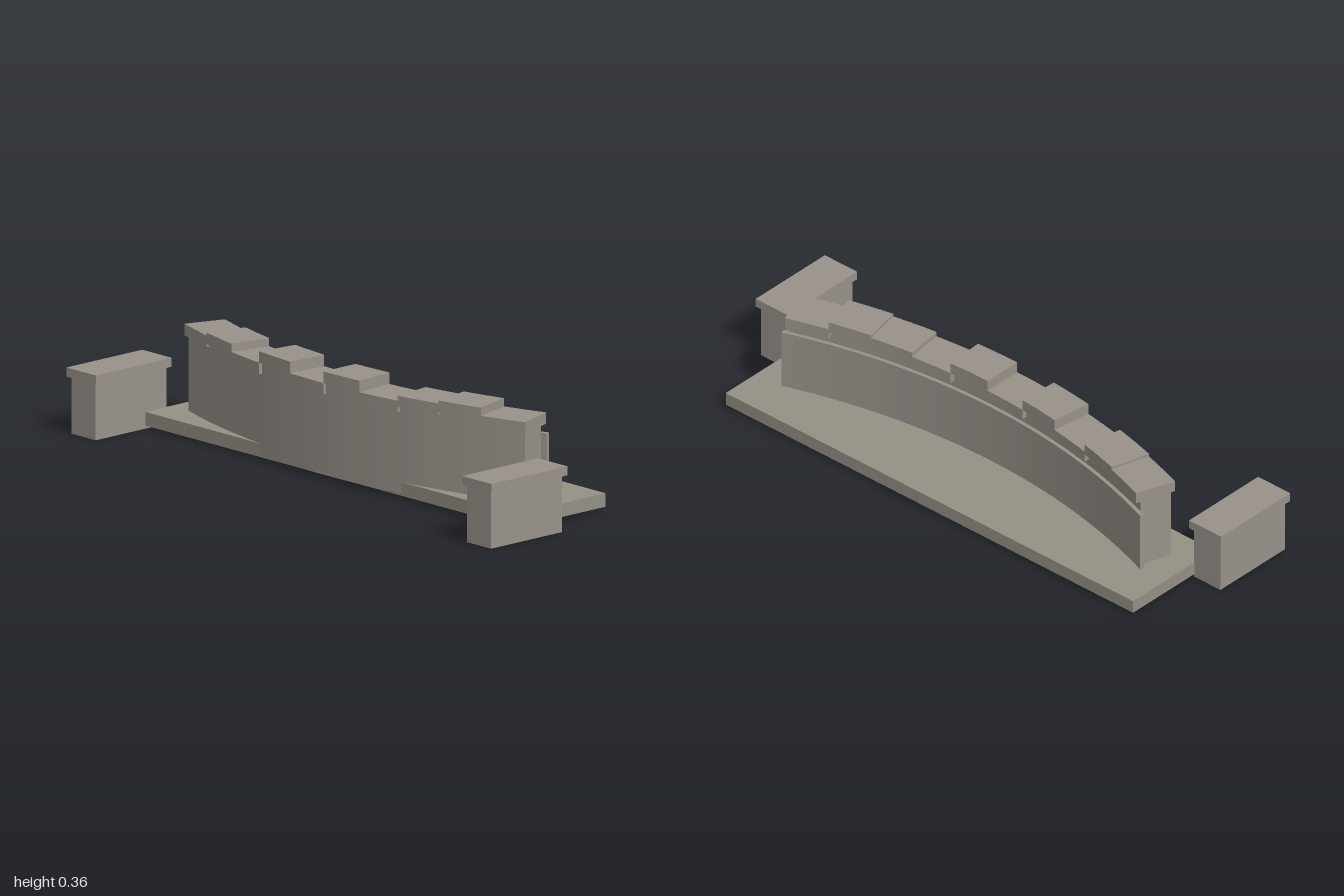
import * as THREE from 'three';

const CENTER_Z = -2.29; // centre of the wall's curve
const stone = new THREE.MeshStandardMaterial({ color: 0x98928a, flatShading: true });
const slabStone = new THREE.MeshStandardMaterial({ color: 0x949085, flatShading: true });

// Curved block between two radii and two angles (angle 0 faces the front)
function arcBlock(name, r0, r1, a0, a1, y0, y1, steps) {
  const pts = [];
  const add = (r, a) => pts.push(new THREE.Vector2(r * Math.sin(a), -(CENTER_Z + r * Math.cos(a))));
  for (let i = 0; i <= steps; i++) add(r1, a0 + ((a1 - a0) * i) / steps);
  for (let i = steps; i >= 0; i--) add(r0, a0 + ((a1 - a0) * i) / steps);
  const geo = new THREE.ExtrudeGeometry(new THREE.Shape(pts), { depth: y1 - y0, bevelEnabled: false });
  geo.rotateX(-Math.PI / 2).translate(0, y0, 0);
  const mesh = new THREE.Mesh(geo, stone);
  mesh.name = name;
  return mesh;
}

function box(name, x0, x1, y0, y1, z0, z1, material) {
  const mesh = new THREE.Mesh(new THREE.BoxGeometry(x1 - x0, y1 - y0, z1 - z0), material);
  mesh.position.set((x0 + x1) / 2, (y0 + y1) / 2, (z0 + z1) / 2);
  mesh.name = name;
  return mesh;
}

export function createModel() {
  const model = new THREE.Group();
  model.name = 'curvedStoneWall';

  // Base slab
  model.add(box('baseSlab', -0.875, 0.875, 0.01, 0.055, -0.305, 0.08, slabStone));

  // Curved wall and the thin panel lining its back
  model.add(arcBlock('wall', 2.282, 2.393, -0.337, 0.337, 0.018, 0.288, 40));
  model.add(arcBlock('backPanel', 2.269, 2.285, -0.346, 0.346, 0, 0.262, 40));

  // Coping stones at uneven heights, each on its own stretch of wall
  const tops = [0.342, 0.352, 0.325, 0.363, 0.325, 0.363, 0.325, 0.342, 0.352, 0.325];
  const step = 0.068;
  tops.forEach((top, i) => {
    const a0 = (i - 5) * step;
    const a1 = a0 + step;
    const bottom = top - 0.038;
    if (bottom > 0.29) {
      model.add(arcBlock('wallRiser', 2.282, 2.393,
        Math.max(a0, -0.337), Math.min(a1, 0.337), 0.288, bottom, 4));
    }
    model.add(arcBlock('copingStone', 2.263, 2.404, a0, a1, bottom, top, 4));
  });

  // End piers with overhanging caps
  for (const [side, s] of [['left', 1], ['right', -1]]) {
    const pier = new THREE.Group();
    pier.name = side + 'Pier';
    const inner = s > 0 ? 0.873 : -0.987;
    pier.add(box('pierBlock', inner, inner + 0.114, 0, 0.188, -0.012, 0.297, stone));
    const capX = s > 0 ? 0.862 : -1;
    pier.add(box('pierCap', capX, capX + 0.138, 0.188, 0.218, -0.023, 0.307, stone));
    model.add(pier);
  }
  return model;
}
